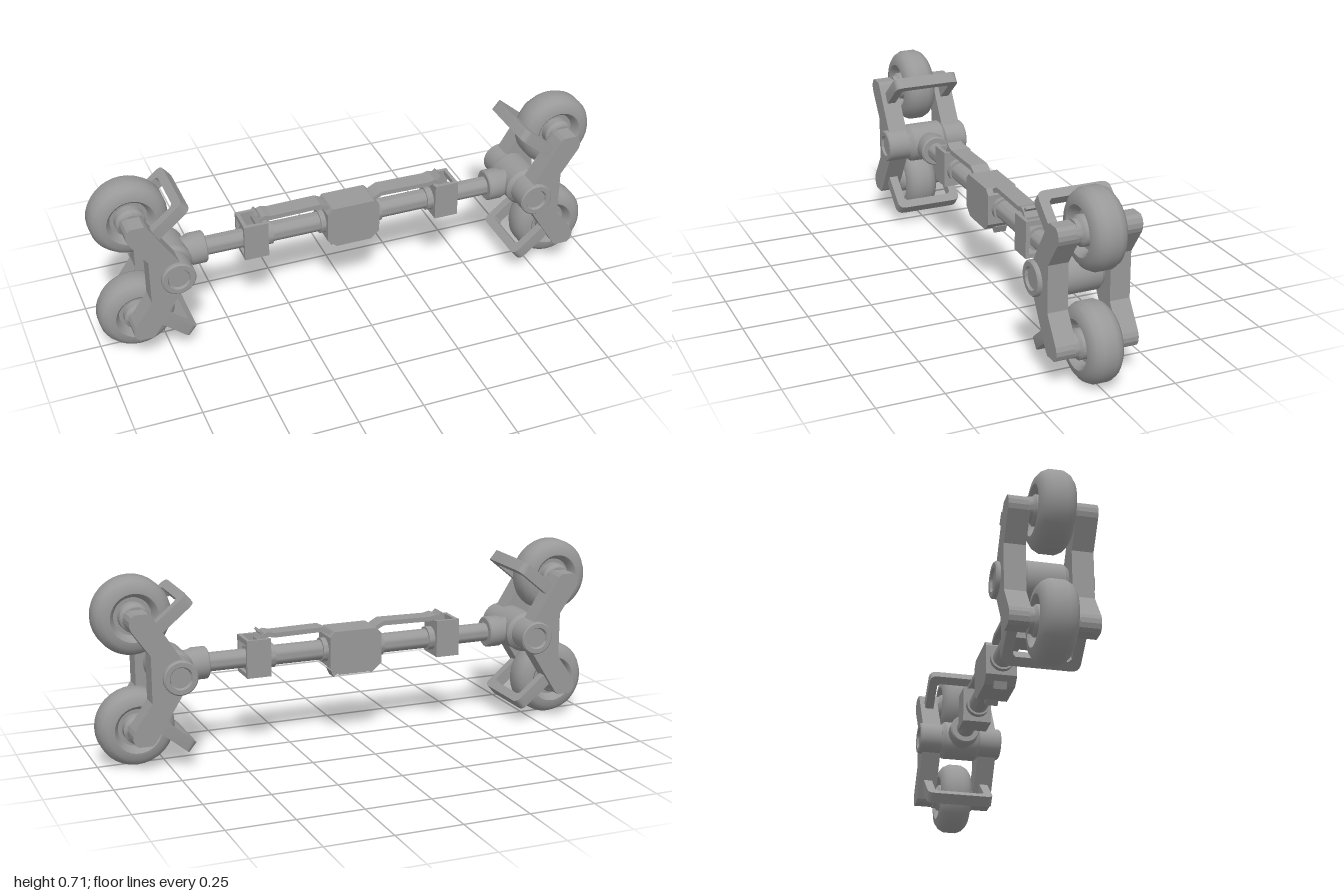
import * as THREE from 'three';
import { toCreasedNormals } from 'three/addons/utils/BufferGeometryUtils.js';

const grey = new THREE.MeshStandardMaterial({ color: 0x999999 });
grey.name = 'grey';

const V2 = (p) => new THREE.Vector2(p[0], p[1]);

function add(parent, name, geometry, x = 0, y = 0, z = 0) {
  const mesh = new THREE.Mesh(geometry, grey);
  mesh.name = name;
  mesh.position.set(x, y, z);
  parent.add(mesh);
  return mesh;
}

// Turned part from [radius, distance] pairs, spun around 'x' or 'z'
function turned(profile, axis, segments = 28) {
  const g = new THREE.LatheGeometry(profile.map(V2), segments);
  if (axis === 'x') g.rotateZ(-Math.PI / 2);
  else g.rotateX(Math.PI / 2);
  return toCreasedNormals(g, 0.6);
}

// Solid bar along x between two positions
const rod = (x0, x1, r) => turned([[0, x0], [r, x0], [r, x1], [0, x1]], 'x');

// Outline in x/y, centred in z
function slab(points, depth) {
  const g = new THREE.ExtrudeGeometry(new THREE.Shape(points.map(V2)), { depth, bevelEnabled: false });
  return g.translate(0, 0, -depth / 2);
}

// Mirrored profile: lower half given, upper half added
const symmetric = (half) => [...half, ...half.slice().reverse().map(([r, h]) => [r, -h])];

// Bent side arm, relative to the pivot
function armGeometry() {
  const cx = 0.135, cy = 0.21, r = 0.045, tilt = Math.atan2(cy, cx);
  const upper = [[0.105, 0.088]];
  for (let i = 0; i <= 8; i++) {
    const a = tilt - Math.PI / 2 + (i / 8) * Math.PI;
    upper.push([cx + r * Math.cos(a), Math.min(0.245, cy + r * Math.sin(a))]);
  }
  const lower = upper.slice().reverse().map(([x, y]) => [x, -y]);
  return slab([...upper, [-0.05, 0], ...lower], 0.077);
}

// U-shaped guard bar, drawn across z and along its slanted length
function guardGeometry() {
  const w = 0.137, t = 0.035, len = 0.18, c = 0.03;
  const s = new THREE.Shape();
  s.moveTo(-w, 0);
  s.lineTo(-w, len - c);
  s.quadraticCurveTo(-w, len, -w + c, len);
  s.lineTo(w - c, len);
  s.quadraticCurveTo(w, len, w, len - c);
  s.lineTo(w, 0);
  s.lineTo(w - t, 0);
  s.lineTo(w - t, len - t - 0.01);
  s.lineTo(w - t - 0.01, len - t);
  s.lineTo(-w + t + 0.01, len - t);
  s.lineTo(-w + t, len - t - 0.01);
  s.lineTo(-w + t, 0);
  s.closePath();
  const g = new THREE.ExtrudeGeometry(s, { depth: 0.045, bevelEnabled: false, curveSegments: 5 });
  g.translate(0, 0, -0.0225);
  const across = new THREE.Vector3(0, 0, 1);
  const along = new THREE.Vector3(-0.77, 0.638, 0).normalize();
  const normal = new THREE.Vector3().crossVectors(across, along);
  g.applyMatrix4(new THREE.Matrix4().makeBasis(across, along, normal));
  return toCreasedNormals(g, 0.6);
}

// Wheel pair with pivot, arms and guards; origin at the pivot
function wheelUnit() {
  const unit = new THREE.Group();
  unit.name = 'wheelUnit';
  const tyre = turned(symmetric([[0, -0.03], [0.07, -0.03], [0.08, -0.055], [0.09, -0.065],
    [0.115, -0.062], [0.134, -0.047], [0.145, -0.025]]), 'z', 32);
  const axle = turned(symmetric([[0, -0.085], [0.045, -0.085], [0.045, -0.07], [0.055, -0.06], [0.055, -0.02]]), 'z');
  const guard = guardGeometry();
  const arm = armGeometry();

  for (const half of [0, 1]) {
    const g = new THREE.Group();
    g.name = half ? 'lowerWheel' : 'upperWheel';
    g.rotation.x = half * Math.PI;
    add(g, 'tyre', tyre, 0.135, 0.21);
    add(g, 'axle', axle, 0.135, 0.21);
    add(g, 'guardBar', guard, 0.087, 0.167);
    unit.add(g);
  }
  for (const side of [-1, 1]) add(unit, 'sideArm', arm, 0, 0, side * 0.1185);

  // Pivot hub, and its pin with dished caps
  add(unit, 'pivotHub', turned(symmetric([[0, -0.081], [0.066, -0.081], [0.078, -0.066]]), 'z'));
  add(unit, 'pivotPin', turned(symmetric([[0, -0.164], [0.038, -0.164], [0.043, -0.173],
    [0.06, -0.173], [0.065, -0.168], [0.065, -0.15]]), 'z'));
  // Socket joining the hub to the shaft
  add(unit, 'shaftSocket', turned([[0, -0.145], [0.056, -0.145], [0.061, -0.14], [0.061, -0.09],
    [0.054, -0.075], [0.054, 0], [0, 0]], 'x'));
  return unit;
}

// Flat strap following a side outline
function strapGeometry() {
  const top = [[0.08, 0.07], [0.1, 0.084], [0.125, 0.097], [0.32, 0.094], [0.345, 0.1], [0.365, 0.092], [0.38, 0.07]];
  const bottom = top.map(([x, y]) => [x, y - 0.018]).reverse();
  return slab([...top, ...bottom].reverse(), 0.07);
}

// One half of the telescopic shaft, running to +x
function shaftHalf() {
  const half = new THREE.Group();
  half.name = 'shaftHalf';
  add(half, 'outerShaft', rod(0.34, 0.62, 0.036));
  add(half, 'innerSleeve', rod(0.09, 0.35, 0.038));
  for (const x of [0.1, 0.315]) add(half, 'sleeveRing', rod(x, x + 0.025, 0.046));

  // Clamp: cheeks, floor and end flange, open on top and outside
  for (const side of [-1, 1]) {
    add(half, 'clampCheek', new THREE.BoxGeometry(0.095, 0.145, 0.014), 0.3875, 0.007, side * 0.05);
  }
  add(half, 'clampFloor', new THREE.BoxGeometry(0.095, 0.016, 0.1), 0.3875, -0.057, 0);
  add(half, 'clampFlange', new THREE.BoxGeometry(0.02, 0.14, 0.1), 0.35, 0.007, 0);
  add(half, 'clampCollar', rod(0.36, 0.425, 0.046));
  add(half, 'clampRim', new THREE.BoxGeometry(0.014, 0.02, 0.1), 0.427, 0.069, 0);

  // Strap and its hook
  add(half, 'strap', strapGeometry());
  const hook = add(half, 'strapHook', new THREE.BoxGeometry(0.036, 0.01, 0.06), 0.362, 0.092, 0);
  hook.rotation.z = 0.8;

  // Small foot under the central housing
  add(half, 'foot', slab([[0.055, -0.085], [0.078, -0.108], [0.09, -0.08]], 0.05));
  return half;
}

export function createModel() {
  const model = new THREE.Group();
  model.name = 'wheeledShaft';
  const body = new THREE.Group();
  body.name = 'body';
  body.position.y = 0.355;
  model.add(body);

  // Chamfered central housing
  add(body, 'centralHousing', slab([[-0.07, -0.09], [0.07, -0.09], [0.105, -0.06], [0.105, 0.058],
    [0.085, 0.08], [-0.085, 0.08], [-0.105, 0.058], [-0.105, -0.06]], 0.12));

  // The two ends are the same, turned half round
  for (const turn of [0, 1]) {
    const end = new THREE.Group();
    end.name = turn ? 'rightEnd' : 'leftEnd';
    end.rotation.y = turn * Math.PI;
    end.add(shaftHalf());
    const unit = wheelUnit();
    unit.position.x = 0.72;
    end.add(unit);
    body.add(end);
  }
  return model;
}
